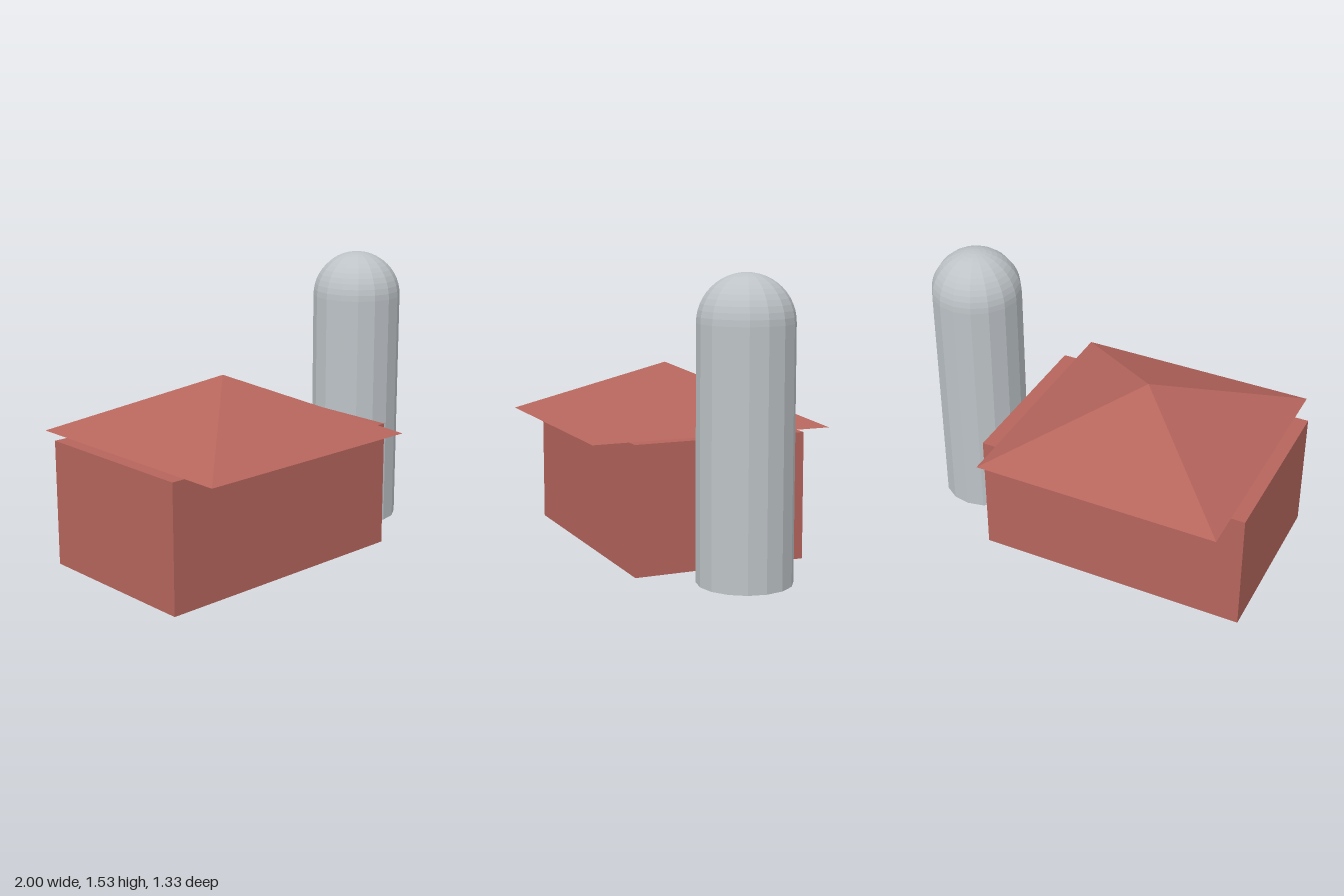
import * as THREE from 'three';

export function createModel() {
  const model = new THREE.Group();
  const barnRed = new THREE.MeshStandardMaterial({ name: 'barnRed', color: 0xb5655c, flatShading: true });
  const siloGrey = new THREE.MeshStandardMaterial({ name: 'siloGrey', color: 0xbdc3c7, flatShading: true });

  function add(name, geometry, material, x, y) {
    const mesh = new THREE.Mesh(geometry, material);
    mesh.name = name;
    mesh.position.set(x, y, 0);
    model.add(mesh);
    return mesh;
  }

  // Barn: a box with a four-sided pyramid roof overhanging front and back
  const barnX = -0.259, wallHeight = 0.677, roofHeight = 0.31, roofSide = 1.333;
  add('barnWalls', new THREE.BoxGeometry(1.482, wallHeight, 0.945), barnRed, barnX, wallHeight / 2);
  const roof = new THREE.ConeGeometry(roofSide / Math.SQRT2, roofHeight, 4, 1);
  roof.rotateY(Math.PI / 4);
  add('barnRoof', roof, barnRed, barnX, wallHeight + roofHeight / 2);

  // Silo: a 16-sided cylinder with a hemispherical dome
  const siloX = 0.757, radius = 0.243, siloHeight = 1.287;
  add('siloBody', new THREE.CylinderGeometry(radius, radius, siloHeight, 16), siloGrey, siloX, siloHeight / 2);
  add('siloDome', new THREE.SphereGeometry(radius, 16, 12, 0, Math.PI * 2, 0, Math.PI / 2), siloGrey, siloX, siloHeight);

  return model;
}
